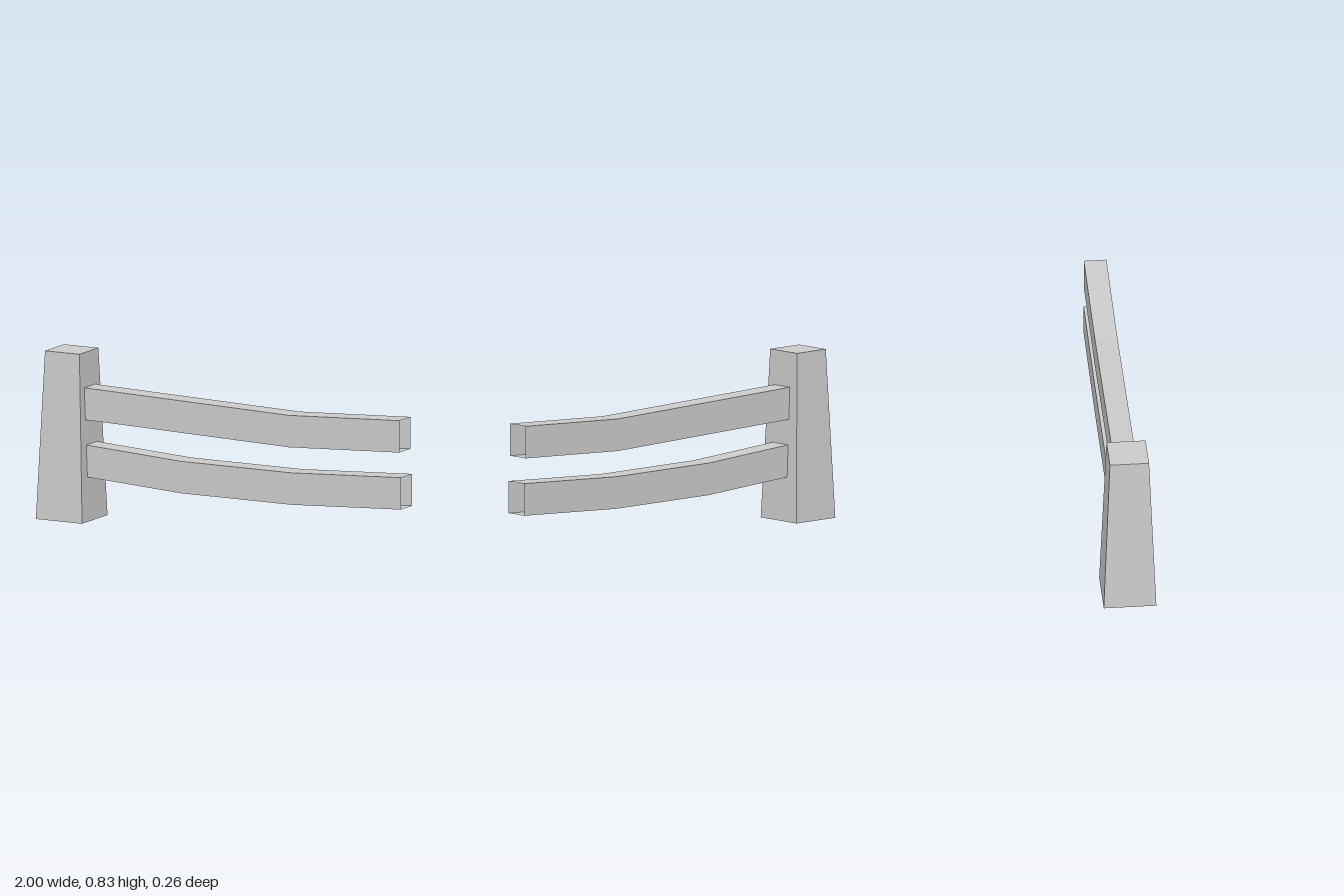
import * as THREE from 'three';

const material = new THREE.MeshStandardMaterial({
  color: 0xcccccc, flatShading: true, side: THREE.DoubleSide,
});

// Joins four-cornered rings into an open tube, with an optional cap on the last ring.
// Corners run counter-clockwise seen from the far end.
function loft(name, rings, capEnd) {
  const positions = [];
  const quad = (a, b, c, d) => positions.push(...a, ...b, ...c, ...a, ...c, ...d);
  for (let r = 0; r < rings.length - 1; r++) {
    for (let i = 0; i < 4; i++) {
      const j = (i + 1) % 4;
      quad(rings[r][i], rings[r][j], rings[r + 1][j], rings[r + 1][i]);
    }
  }
  if (capEnd) quad(...rings[rings.length - 1]);
  const geometry = new THREE.BufferGeometry();
  geometry.setAttribute('position', new THREE.Float32BufferAttribute(positions, 3));
  geometry.computeVertexNormals();
  const mesh = new THREE.Mesh(geometry, material);
  mesh.name = name;
  return mesh;
}

// Horizontal square section of the post
const postRing = (y, half) => {
  const x = -0.871;
  return [[x + half, y, half], [x + half, y, -half], [x - half, y, -half], [x - half, y, half]];
};

// Upright section of a rail, given the height of its top edge
const railRing = ([x, top]) => {
  const bottom = top - 0.159, front = 0.059, back = -0.052;
  return [[x, bottom, back], [x, top, back], [x, top, front], [x, bottom, front]];
};

export function createModel() {
  const group = new THREE.Group();
  group.name = 'fenceSection';

  // Tapered post, open underneath
  group.add(loft('post', [postRing(0, 0.129), postRing(0.835, 0.096)], true));

  // Sagging hollow rails, open at the free end
  const rails = {
    upperRail: [[-0.775, 0.663], [0.375, 0.632], [0.99, 0.663]],
    lowerRail: [[-0.775, 0.38], [-0.23, 0.347], [0.385, 0.347], [1, 0.38]],
  };
  for (const [name, path] of Object.entries(rails)) {
    group.add(loft(name, path.map(railRing), false));
  }
  return group;
}
